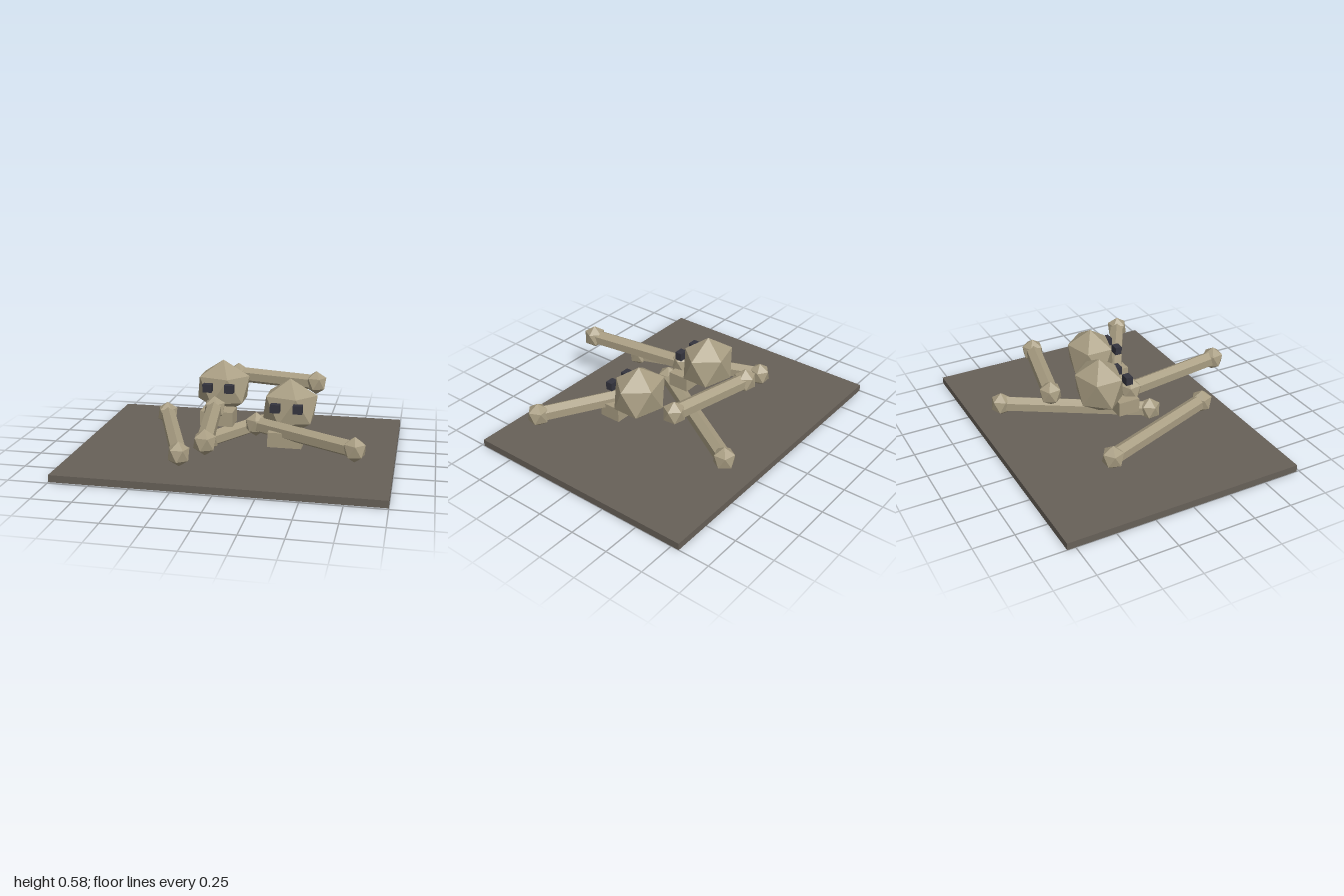
import * as THREE from 'three';

const boneMat = new THREE.MeshStandardMaterial({ name: 'old bone', color: 0xa89d82 });
const slabMat = new THREE.MeshStandardMaterial({ name: 'stone', color: 0x676058 });
const eyeMat = new THREE.MeshStandardMaterial({ name: 'dark socket', color: 0x34343e });
boneMat.flatShading = true;

// Icosahedron turned so that a corner points straight up and a lower corner points to -x
function uprightIcosahedron() {
  const geo = new THREE.IcosahedronGeometry(1, 0);
  const t = (1 + Math.sqrt(5)) / 2;
  geo.rotateZ(Math.atan2(1, t)); // corner (1, t, 0) is leaning toward +x
  geo.rotateZ(0);
  const p = geo.attributes.position;
  let lowest = 0;
  for (let i = 0; i < p.count; i++) {
    if (Math.abs(p.getY(i) + 0.447) < 0.02) { lowest = Math.atan2(p.getZ(i), p.getX(i)); break; }
  }
  geo.rotateY(lowest - Math.PI);
  geo.computeVertexNormals();
  return geo;
}
const icosahedron = uprightIcosahedron();

function add(parent, name, geo, mat, x, y, z) {
  const mesh = new THREE.Mesh(geo, mat);
  mesh.name = name;
  mesh.position.set(x, y, z);
  parent.add(mesh);
  return mesh;
}

// Level long bone: six-sided shaft with a ridge on top and a knob at each end
function longBone(x1, z1, x2, z2, y) {
  const bone = new THREE.Group();
  bone.name = 'longBone';
  const length = Math.hypot(x2 - x1, z2 - z1);
  bone.position.set((x1 + x2) / 2, y, (z1 + z2) / 2);
  bone.rotation.y = Math.atan2(x2 - x1, z2 - z1);
  const shaft = new THREE.CylinderGeometry(0.051, 0.051, length, 6).rotateX(Math.PI / 2);
  add(bone, 'shaft', shaft, boneMat, 0, 0, 0);
  for (const s of [-1, 1]) {
    add(bone, 'knob', icosahedron, boneMat, 0, 0, s * length / 2).scale.set(0.073, 0.078, 0.073);
  }
  return bone;
}

// Skull: faceted cranium, two block eyes and a block jaw
function skull(x, y, z) {
  const group = new THREE.Group();
  group.name = 'skull';
  group.position.set(x, y, z);
  add(group, 'cranium', icosahedron, boneMat, 0, 0, 0).scale.set(0.192, 0.182, 0.163);
  for (const s of [-1, 1]) {
    add(group, 'eye', new THREE.BoxGeometry(0.058, 0.052, 0.045), eyeMat, s * 0.07, 0.032, 0.16);
  }
  add(group, 'jaw', new THREE.BoxGeometry(0.21, 0.093, 0.14), boneMat, 0, -0.152, 0.157);
  return group;
}

export function createModel() {
  const model = new THREE.Group();
  model.name = 'bonePile';

  // Ground slab
  add(model, 'slab', new THREE.BoxGeometry(2, 0.045, 1.535), slabMat, 0, 0.0225, -0.034);

  // Scattered bones: x1, z1, x2, z2, height
  const bones = [
    [-0.545, -0.28, -0.255, 0.52, 0.157],
    [0.34, -0.625, -0.16, 0.19, 0.143],
    [-0.09, -0.465, 0.455, -0.342, 0.407],
    [-0.14, 0.06, -0.043, 0.733, 0.315],
    [0.133, 0.087, 0.78, 0.457, 0.234],
  ];
  for (const b of bones) model.add(longBone(...b));

  // Two skulls
  model.add(skull(-0.128, 0.397, -0.155), skull(0.337, 0.34, 0.02));
  return model;
}
